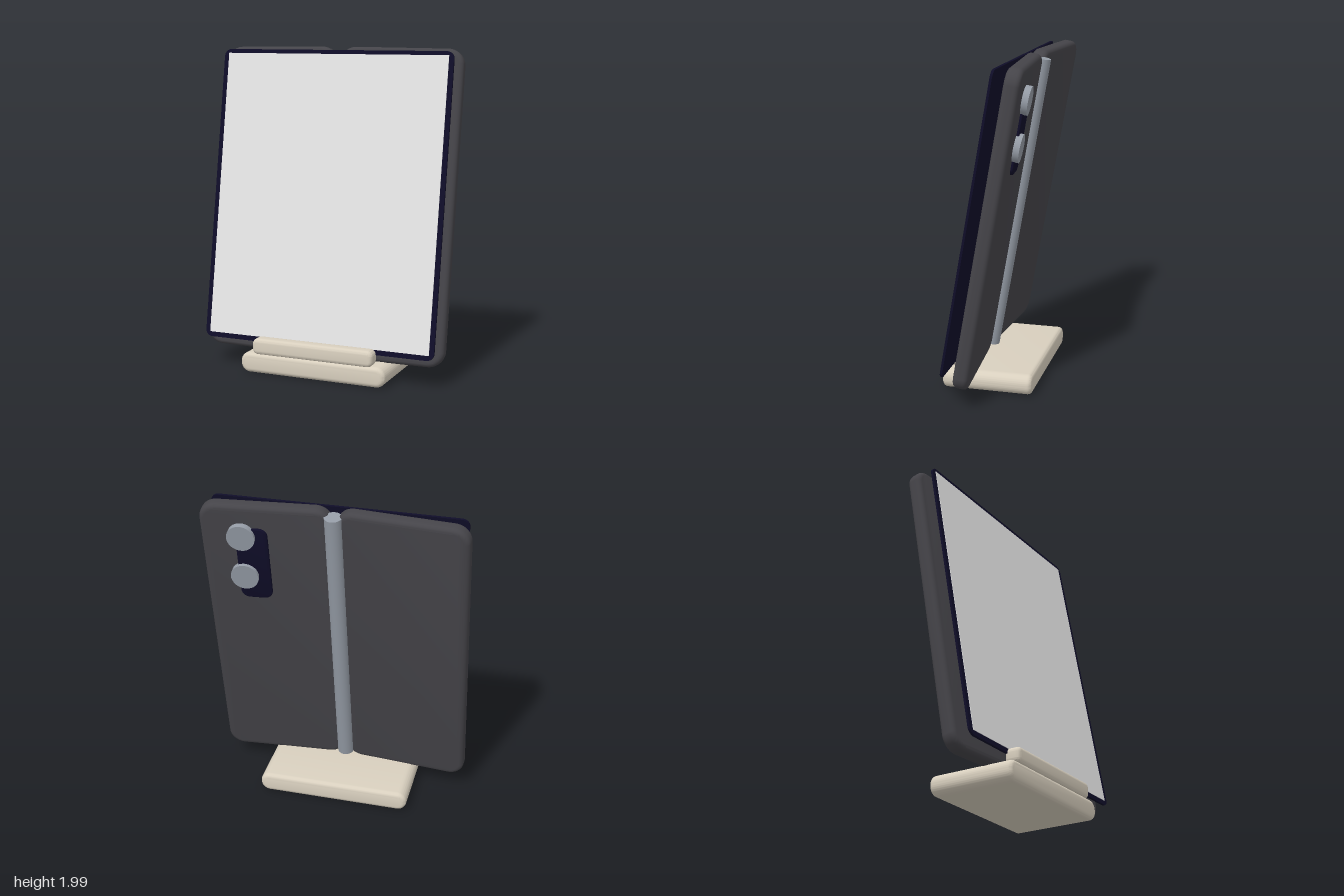
import * as THREE from 'three';
import { toCreasedNormals } from 'three/addons/utils/BufferGeometryUtils.js';

const mat = (name, color) => {
  const m = new THREE.MeshStandardMaterial({ color });
  m.name = name;
  return m;
};

// Rounded rectangle outline centred on the origin
function roundedRect(w, h, r) {
  const s = new THREE.Shape(), x = w / 2, y = h / 2;
  s.absarc(x - r, y - r, r, 0, Math.PI / 2);
  s.absarc(-x + r, y - r, r, Math.PI / 2, Math.PI);
  s.absarc(-x + r, -y + r, r, Math.PI, Math.PI * 1.5);
  s.absarc(x - r, -y + r, r, Math.PI * 1.5, Math.PI * 2);
  s.closePath();
  return s;
}

// Slab with rounded corners (r) and softened front and back edges (bevel), centred
function slab(w, h, d, r, bevel) {
  const g = new THREE.ExtrudeGeometry(
    roundedRect(w - 2 * bevel, h - 2 * bevel, Math.max(r - bevel, 0.004)),
    {
      depth: d - 2 * bevel, curveSegments: 8,
      bevelEnabled: bevel > 0, bevelSize: bevel, bevelThickness: bevel, bevelSegments: 5,
    });
  g.translate(0, 0, -d / 2 + bevel);
  return toCreasedNormals(g, 0.6);
}

export function createModel() {
  const shell = mat('charcoal shell', 0x454449);
  const navy = mat('navy black', 0x0f0d28);
  const steel = mat('steel grey', 0x959ca6);
  const display = mat('pale display', 0xeeeeee);
  const cream = mat('cream stand', 0xd8cfbe);

  const model = new THREE.Group();
  model.name = 'foldingPhoneOnStand';
  const add = (parent, name, geometry, material, x = 0, y = 0, z = 0) => {
    const m = new THREE.Mesh(geometry, material);
    m.name = name;
    m.position.set(x, y, z);
    parent.add(m);
    return m;
  };

  // Stand: base and front lip
  add(model, 'standBase', slab(0.95, 0.125, 0.55, 0.058, 0.028), cream, 0, 0.0625, 0.01);
  add(model, 'standLip', slab(0.79, 0.1, 0.095, 0.035, 0.025), cream, 0, 0.168, 0.238);

  // Device leans back by ten degrees
  const device = new THREE.Group();
  device.name = 'device';
  device.position.set(0, 1.06, 0);
  device.rotation.x = -THREE.MathUtils.degToRad(10);
  model.add(device);

  // Two shell halves folded slightly back from the hinge
  const W = 0.775, T = 0.092, bodyGeo = slab(W, 1.9, T, 0.1, 0.03);
  for (const side of [1, -1]) {
    const half = new THREE.Group();
    half.name = side > 0 ? 'leftHalf' : 'rightHalf';
    half.position.set(side * 0.015, 0, 0.027);
    half.rotation.y = side * THREE.MathUtils.degToRad(4);
    device.add(half);
    add(half, 'shell', bodyGeo, shell, side * W / 2, 0, -T / 2);

    if (side > 0) {
      // Camera island with two lenses on the back
      add(half, 'cameraIsland', slab(0.19, 0.49, 0.03, 0.05, 0.006), navy, 0.472, 0.565, -T);
      for (const y of [0.756, 0.482]) {
        const lens = add(half, 'cameraLens',
          new THREE.CylinderGeometry(0.083, 0.083, 0.045, 32), steel, 0.53, y, -T - 0.014);
        lens.rotation.x = Math.PI / 2;
      }
    }
  }

  // Hinge spine
  add(device, 'hinge', new THREE.CylinderGeometry(0.052, 0.052, 1.83, 32), steel, 0, 0, -0.056);

  // Panel standing just in front of the shell, and its display
  add(device, 'screenBezel', slab(1.51, 1.82, 0.014, 0.045, 0), navy, 0, 0.009, 0.05);
  add(device, 'display', new THREE.BoxGeometry(1.45, 1.765, 0.003), display, 0, 0.012, 0.0585);

  return model;
}
